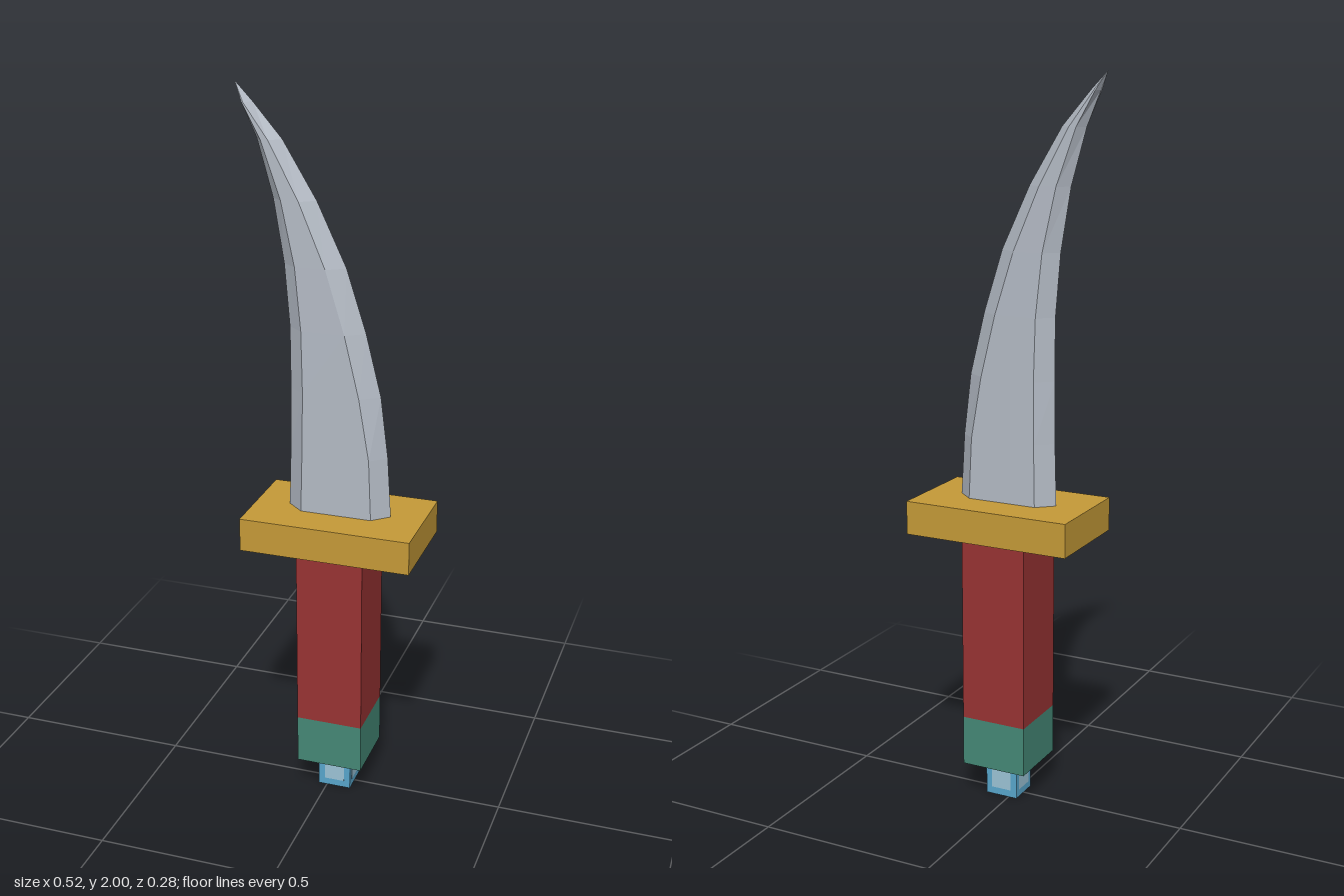
import * as THREE from 'three';

const mat = (name, color, flatShading = false) => {
  const m = new THREE.MeshStandardMaterial({ color, flatShading });
  m.name = name;
  return m;
};

export function createModel() {
  const group = new THREE.Group();
  group.name = 'curvedDagger';
  const steel = mat('steel', 0xb3bac4, true);
  const gold = mat('gold', 0xc59a38);
  const red = mat('redGrip', 0x983333);
  const green = mat('greenBand', 0x458876);
  const blue = mat('blueGem', 0x58a6cc);
  const pale = mat('paleGem', 0x9cc3d6);
  const cx = 0.0225; // hilt axis

  const box = (name, material, w, d, y0, y1) => {
    const mesh = new THREE.Mesh(new THREE.BoxGeometry(w, y1 - y0, d), material);
    mesh.position.set(cx, (y0 + y1) / 2, 0);
    mesh.name = name;
    group.add(mesh);
    return mesh;
  };

  // Hilt
  box('guard', gold, 0.475, 0.285, 0.767, 0.86);
  box('grip', red, 0.188, 0.188, 0.24, 0.767);
  box('gripBand', green, 0.188, 0.188, 0.1, 0.24);
  box('pommelGem', blue, 0.094, 0.09, 0, 0.1);

  // Pale inlay on each side of the gem
  for (let i = 0; i < 4; i++) {
    const plate = new THREE.Mesh(new THREE.BoxGeometry(0.058, 0.058, 0.002), pale);
    const a = i * Math.PI / 2;
    const r = i % 2 ? 0.047 : 0.045;
    plate.position.set(cx + Math.sin(a) * r, 0.05, Math.cos(a) * r);
    plate.rotation.y = a;
    plate.name = 'gemInlay';
    group.add(plate);
  }

  // Blade sections: y, inner edge, inner ridge, outer ridge, outer edge, half thickness
  const rows = [
    [0.85, -0.122, -0.076, 0.123, 0.168, 0.04],
    [1.03, -0.117, -0.072, 0.115, 0.157, 0.038],
    [1.2, -0.115, -0.07, 0.086, 0.136, 0.036],
    [1.37, -0.116, -0.074, 0.045, 0.094, 0.034],
    [1.54, -0.13, -0.091, -0.008, 0.04, 0.031],
    [1.71, -0.158, -0.128, -0.08, -0.04, 0.028],
    [1.86, -0.2, -0.181, -0.161, -0.131, 0.025],
    [1.95, -0.237, -0.231, -0.227, -0.209, 0.022],
    [2.0, -0.257, -0.257, -0.257, -0.257, 0],
  ];
  const pos = [];
  const index = [];
  rows.forEach(([y, a, b, c, d, t], j) => {
    pos.push(a, y, 0, b, y, t, c, y, t, d, y, 0, c, y, -t, b, y, -t);
    if (!j) return;
    for (let i = 0; i < 6; i++) {
      const p = (j - 1) * 6 + i, q = (j - 1) * 6 + (i + 1) % 6;
      index.push(p, q, q + 6);
      if (j < rows.length - 1) index.push(p, q + 6, p + 6);
    }
  });
  const geo = new THREE.BufferGeometry();
  geo.setAttribute('position', new THREE.Float32BufferAttribute(pos, 3));
  geo.setIndex(index);
  geo.computeVertexNormals();
  const blade = new THREE.Mesh(geo, steel);
  blade.name = 'blade';
  group.add(blade);

  return group;
}
